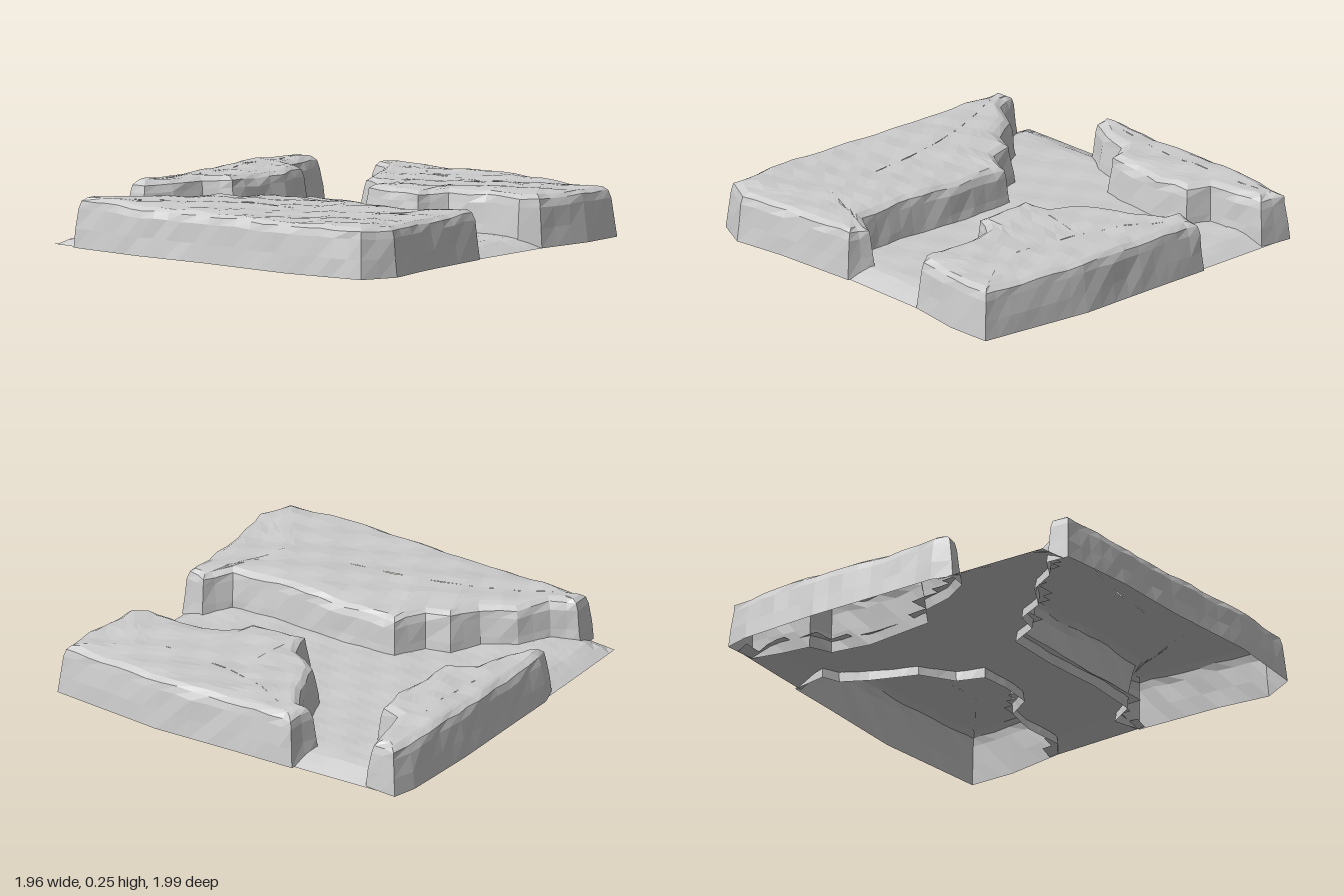
import * as THREE from 'three';

const material = new THREE.MeshStandardMaterial({ color: 0xcccccc, flatShading: true, side: THREE.DoubleSide });
const toPoints = (list) => list.map(([x, z]) => new THREE.Vector2(x, z));

// Outlines on the ground as (x, z), clockwise from above, each with a spine the top closes onto
const plateaus = [
  {
    name: 'leftPlateau', height: 0.232,
    outline: toPoints([[-0.94, -0.8], [-0.82, -0.81], [-0.75, -0.69], [-0.6, -0.61], [-0.51, -0.46], [-0.36, -0.39],
      [-0.33, -0.27], [-0.18, -0.2], [-0.165, 0.1], [-0.18, 0.4], [-0.155, 0.7], [-0.02, 0.78], [-0.06, 0.92],
      [-0.5, 0.95], [-0.76, 0.99], [-0.93, 0.91], [-0.98, 0.5], [-0.96, 0], [-0.97, -0.4], [-0.95, -0.7]]),
    spine: toPoints([[-0.85, -0.66], [-0.66, -0.25], [-0.57, 0.1], [-0.55, 0.62]]),
  },
  {
    name: 'rightPlateau', height: 0.24,
    outline: toPoints([[0.77, -0.43], [0.95, -0.4], [0.96, -0.1], [0.98, 0.35], [0.95, 0.7], [0.93, 0.94], [0.7, 0.95],
      [0.41, 0.91], [0.34, 0.82], [0.35, 0.6], [0.31, 0.43], [0.18, 0.35], [0.16, 0.18], [0.17, 0.03],
      [0.3, -0.02], [0.4, -0.18], [0.62, -0.27], [0.74, -0.34]]),
    spine: toPoints([[0.83, -0.26], [0.68, 0.1], [0.66, 0.62]]),
  },
  {
    name: 'backPlateau', height: 0.232,
    outline: toPoints([[-0.38, -0.95], [-0.28, -0.985], [0, -0.99], [0.4, -1], [0.8, -0.99], [0.92, -0.96], [0.91, -0.79],
      [0.75, -0.75], [0.62, -0.73], [0.575, -0.62], [0.38, -0.58], [0.02, -0.61], [-0.06, -0.73],
      [-0.22, -0.77], [-0.36, -0.85]]),
    spine: toPoints([[-0.25, -0.9], [0.25, -0.84], [0.8, -0.88]]),
  },
];

// Repeatable rock unevenness, about -1 to 1
function rough(x, z, s = 0) {
  return 0.5 * Math.sin(7.3 * x + 2.1 * z + s) * Math.cos(6.1 * z - 1.7 * x + s)
    + 0.5 * Math.sin(23 * x + 5 * z + 2 * s) * Math.sin(21 * z - 8 * x + s);
}

function meshFrom(name, positions, index) {
  const geometry = new THREE.BufferGeometry();
  geometry.setAttribute('position', new THREE.Float32BufferAttribute(positions, 3));
  geometry.setIndex(index);
  geometry.computeVertexNormals();
  const mesh = new THREE.Mesh(geometry, material);
  mesh.name = name;
  return mesh;
}

// Split each outline side into short pieces, keeping its corners
function subdivide(points, step) {
  const out = [];
  points.forEach((p, i) => {
    const q = points[(i + 1) % points.length];
    const n = Math.max(1, Math.round(p.distanceTo(q) / step));
    for (let k = 0; k < n; k++) out.push(p.clone().lerp(q, k / n));
  });
  return out;
}

// Cliff walls rising in rings, then a top that closes onto the spine
function plateau({ name, height, outline, spine }) {
  const base = subdivide(outline, 0.085);
  const n = base.length;
  const inward = base.map((p, i) => {
    const t = base[(i + 1) % n].clone().sub(base[(i + n - 1) % n]).normalize();
    return new THREE.Vector2(-t.y, t.x);
  });
  const spinePoints = new THREE.SplineCurve(spine).getPoints(40);
  const rings = [];

  // Wall profile: inset and share of the height
  const wall = [[0, 0], [0.012, 0.38], [0.025, 0.78], [0.036, 0.93], [0.065, 1]];
  wall.forEach(([inset, rise], r) => {
    rings.push(base.map((p, i) => {
      const d = inset + (r > 0 ? 0.009 * rough(3 * p.x, 3 * p.y, r) : 0);
      const q = p.clone().addScaledVector(inward[i], d);
      return [q.x, rise * (height + 0.012 * rough(q.x, q.y)), q.y];
    }));
  });

  // Uneven top
  const rim = rings[rings.length - 1];
  const topRings = 5;
  for (let r = 1; r <= topRings; r++) {
    rings.push(rim.map(([x, , z]) => {
      const p = new THREE.Vector2(x, z);
      const target = spinePoints.reduce((a, b) => (p.distanceToSquared(b) < p.distanceToSquared(a) ? b : a));
      p.lerp(target, r / topRings);
      return [p.x, height + 0.004 + 0.012 * rough(p.x, p.y), p.y];
    }));
  }

  const index = [];
  for (let r = 0; r < rings.length - 1; r++) {
    for (let i = 0; i < n; i++) {
      const j = (i + 1) % n;
      const a = r * n + i, b = a + n, c = (r + 1) * n + j, d = r * n + j;
      index.push(a, b, d, b, c, d);
    }
  }
  return meshFrom(name, rings.flat(2), index);
}

function inside(x, z, polygon) {
  let hit = false;
  polygon.forEach((p, i) => {
    const q = polygon[(i + 1) % polygon.length];
    if ((p.y > z) !== (q.y > z) && x < p.x + ((z - p.y) / (q.y - p.y)) * (q.x - p.x)) hit = !hit;
  });
  return hit;
}

// Low path between the plateaus, sloping to the ground at its outer edge and open beneath the rocks
function pathFloor() {
  const cells = 36;
  const positions = [], covered = [], index = [];
  for (let j = 0; j <= cells; j++) {
    const v = j / cells;
    for (let i = 0; i <= cells; i++) {
      const u = i / cells;
      const x = THREE.MathUtils.lerp(-0.9 - 0.045 * Math.sin(Math.PI * Math.min(1, v * 1.3)),
        0.91 + 0.03 * Math.sin(Math.PI * v), u);
      const z = THREE.MathUtils.lerp(-0.945 - 0.025 * Math.sin(Math.PI * u), 0.91, v);
      const edge = 1.85 * Math.min(u, 1 - u, v, 1 - v);
      const y = (0.05 + 0.008 * rough(x, z, 2)) * THREE.MathUtils.smoothstep(edge, -0.03, 0.14);
      positions.push(x, edge < 0.001 ? 0 : y, z);
      covered.push(plateaus.some((p) => inside(x, z, p.outline)));
    }
  }
  for (let j = 0; j < cells; j++) {
    for (let i = 0; i < cells; i++) {
      const a = j * (cells + 1) + i, b = a + 1, c = a + cells + 1, d = c + 1;
      if ([a, b, c, d].every((k) => covered[k])) continue;
      index.push(a, c, b, b, c, d);
    }
  }
  return meshFrom('pathFloor', positions, index);
}

export function createModel() {
  const group = new THREE.Group();
  group.name = 'rockyGroundTile';
  group.add(pathFloor(), ...plateaus.map(plateau));
  return group;
}
